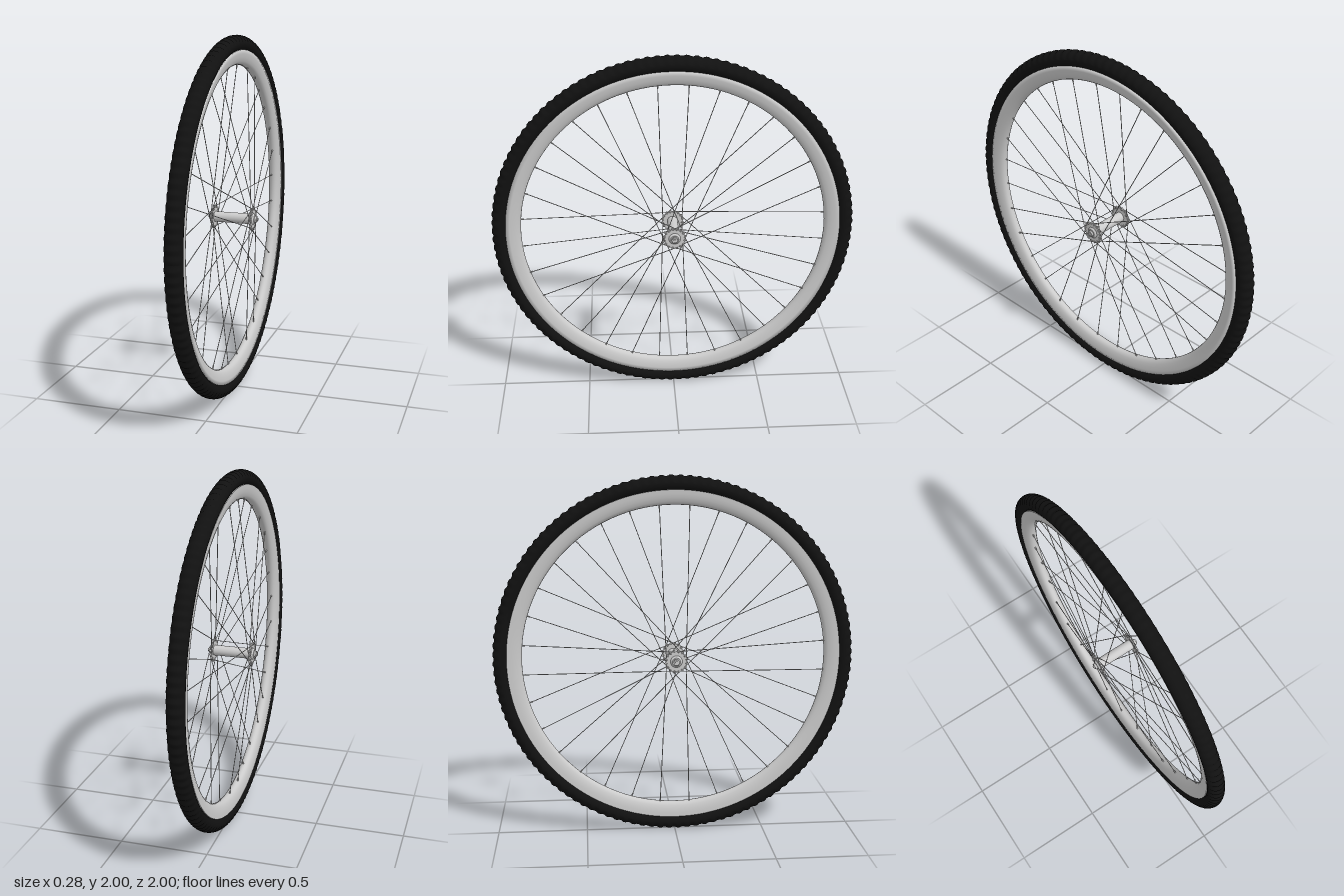
import * as THREE from 'three';

const SPOKES = 32;
const grey = new THREE.MeshStandardMaterial({ color: 0xcccccc });
const black = new THREE.MeshStandardMaterial({ color: 0x111111 });

// Point on the wheel: a is measured from the top towards +z
const polar = (x, r, a) => new THREE.Vector3(x, r * Math.cos(a), r * Math.sin(a));

function add(parent, name, geometry, material = grey) {
  const mesh = new THREE.Mesh(geometry, material);
  mesh.name = name;
  parent.add(mesh);
  return mesh;
}

// Revolve [radius, x] points around the x axis
function revolve(points, segments) {
  const geo = new THREE.LatheGeometry(points.map(([r, x]) => new THREE.Vector2(r, x)), segments);
  return geo.rotateZ(-Math.PI / 2);
}

function rod(a, b, radius, sides = 6) {
  return new THREE.TubeGeometry(new THREE.LineCurve3(a, b), 1, radius, sides, false);
}

// Tyre with fine cross grooves on the tread
function tyreGeometry() {
  const profile = [];
  for (let i = 0; i <= 24; i++) {
    const t = -Math.PI / 2 + (i / 24 - 0.5) * Math.PI * 2;
    profile.push([0.955 + 0.045 * Math.sin(t + Math.PI / 2 + Math.PI / 2), 0.047 * Math.cos(t + Math.PI)]);
  }
  // closed oval section, running so the faces point outwards
  const oval = profile.map((_, i) => {
    const t = Math.PI + (i / 24) * Math.PI * 2;
    return [0.955 + 0.045 * Math.cos(t), 0.047 * Math.sin(t)];
  });
  const segments = 480;
  const geo = revolve(oval, segments);
  const pos = geo.attributes.position;
  for (let i = 0; i < pos.count; i++) {
    const column = Math.floor(i / oval.length) % segments;
    const r = Math.hypot(pos.getY(i), pos.getZ(i));
    if (column % 4 < 2 && r > 0.965) {
      const s = (r - 0.006) / r;
      pos.setXYZ(i, pos.getX(i), pos.getY(i) * s, pos.getZ(i) * s);
    }
  }
  geo.computeVertexNormals();
  return geo;
}

// Scalloped flange with spoke holes
function flangeGeometry() {
  const shape = new THREE.Shape();
  for (let i = 0; i < 128; i++) {
    const a = (i / 128) * Math.PI * 2;
    const r = 0.061 + 0.005 * Math.cos(16 * a + Math.PI);
    shape[i ? 'lineTo' : 'moveTo'](r * Math.cos(a), r * Math.sin(a));
  }
  shape.closePath();
  for (let i = 0; i < 16; i++) {
    const a = ((i + 0.5) / 16) * Math.PI * 2;
    const hole = new THREE.Path();
    hole.absarc(0.055 * Math.cos(a), 0.055 * Math.sin(a), 0.004, 0, Math.PI * 2, true);
    shape.holes.push(hole);
  }
  const geo = new THREE.ExtrudeGeometry(shape, { depth: 0.008, bevelEnabled: false, curveSegments: 4 });
  return geo.translate(0, 0, -0.004).rotateY(Math.PI / 2);
}

export function createModel() {
  const wheel = new THREE.Group();
  wheel.name = 'wheel';
  wheel.position.y = 1;

  add(wheel, 'tyre', tyreGeometry(), black);

  // Rim: rounded deep section, closed under the tyre
  const half = [[0.84, 0], [0.842, 0.01], [0.848, 0.019], [0.86, 0.027], [0.88, 0.033], [0.9, 0.036], [0.922, 0.037]];
  const section = [...half.slice(1).reverse().map(([r, x]) => [r, -x]), ...half];
  section.push([...section[0]]);
  add(wheel, 'rim', revolve(section.reverse(), 128), new THREE.MeshStandardMaterial({ color: 0xcccccc, side: THREE.DoubleSide }));

  // Hub
  const hub = new THREE.Group();
  hub.name = 'hub';
  wheel.add(hub);
  add(hub, 'hubShell', new THREE.CylinderGeometry(0.029, 0.029, 0.22, 32).rotateZ(Math.PI / 2));
  add(hub, 'axle', new THREE.CylinderGeometry(0.009, 0.009, 0.284, 16).rotateZ(Math.PI / 2));
  for (const side of [-1, 1]) {
    add(hub, 'flange', flangeGeometry()).position.x = side * 0.11;
    const cap = new THREE.CylinderGeometry(0.022, 0.034, 0.01, 32).rotateZ(-Math.PI / 2);
    const capMesh = add(hub, 'bearingCap', cap);
    capMesh.position.x = side * 0.118;
    if (side < 0) capMesh.rotation.y = Math.PI;
    const nut = new THREE.CylinderGeometry(0.018, 0.018, 0.012, 6).rotateZ(Math.PI / 2);
    add(hub, 'axleNut', nut).position.x = side * 0.13;
  }

  // Crossed spokes, in pairs to each flange
  const spokes = new THREE.Group();
  spokes.name = 'spokes';
  wheel.add(spokes);
  const step = (Math.PI * 2) / SPOKES;
  for (let i = 0; i < SPOKES; i++) {
    const side = (i + 1) & 2 ? 1 : -1;
    const lead = i % 2 ? -1 : 1;
    const rimAngle = (i + 0.5) * step;
    const hubAngle = rimAngle + lead * 6.5 * step;
    const inner = polar(side * (0.11 + lead * 0.005), 0.055, hubAngle);
    const outer = polar(side * 0.005, 0.845, rimAngle);
    add(spokes, 'spoke', rod(inner, outer, 0.0022));
    add(spokes, 'nipple', rod(outer.clone().lerp(inner, 0.025), outer, 0.004));
    const head = add(spokes, 'spokeHead', new THREE.SphereGeometry(0.005, 8, 6));
    head.position.copy(polar(side * (0.11 - lead * 0.005), 0.055, hubAngle));
  }

  const model = new THREE.Group();
  model.name = 'bicycleWheel';
  model.add(wheel);
  return model;
}
